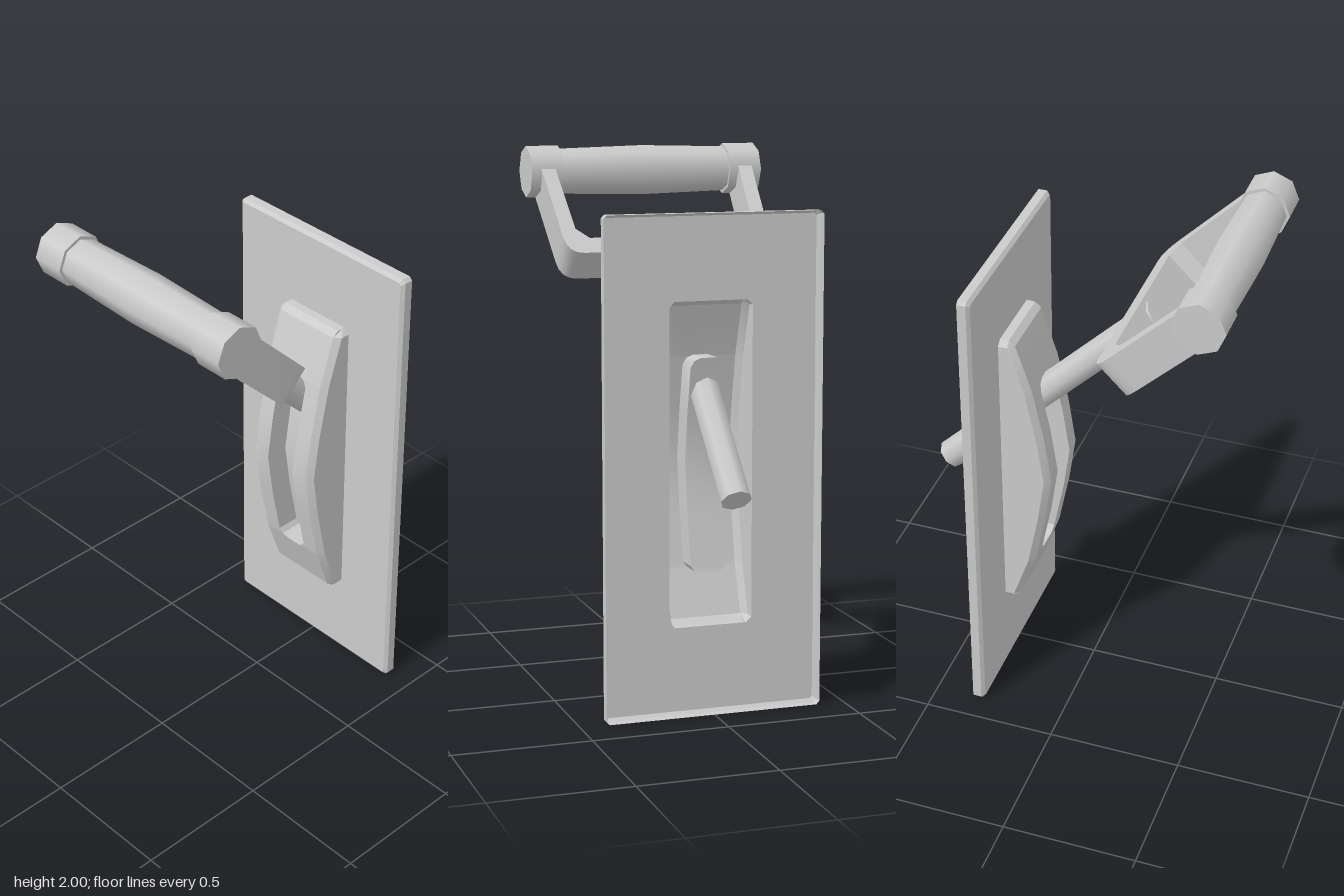
import * as THREE from 'three';
import { toCreasedNormals } from 'three/addons/utils/BufferGeometryUtils.js';

const material = new THREE.MeshStandardMaterial({ color: 0xcccccc });
const sheetMaterial = new THREE.MeshStandardMaterial({ color: 0xcccccc, side: THREE.DoubleSide });
const FACE = -0.305; // z of the plate's front sheet

function part(name, geometry, parent, mat = material) {
  const mesh = new THREE.Mesh(geometry, mat);
  mesh.name = name;
  parent.add(mesh);
  return mesh;
}

// Skin between successive rows of points, skipping collapsed triangles
function loft(rows, crease) {
  const positions = [];
  const tri = (a, b, c) => {
    if (new THREE.Triangle(a, b, c).getArea() < 1e-7) return;
    for (const p of [a, b, c]) positions.push(p.x, p.y, p.z);
  };
  for (let i = 0; i < rows.length - 1; i++) {
    for (let j = 0; j < rows[i].length - 1; j++) {
      const a = rows[i][j], b = rows[i][j + 1], c = rows[i + 1][j + 1], d = rows[i + 1][j];
      tri(a, b, c);
      tri(a, c, d);
    }
  }
  const geometry = new THREE.BufferGeometry();
  geometry.setAttribute('position', new THREE.Float32BufferAttribute(positions, 3));
  return toCreasedNormals(geometry, crease);
}

// Closed rectangular ring with cut corners
function ring(hx, y0, y1, cut, z) {
  return [
    [-hx + cut, y0], [hx - cut, y0], [hx, y0 + cut], [hx, y1 - cut],
    [hx - cut, y1], [-hx + cut, y1], [-hx, y1 - cut], [-hx, y0 + cut], [-hx + cut, y0],
  ].map(([x, y]) => new THREE.Vector3(x, y, z));
}

// Pan-shaped plate, open at the back: rim, bevel, front sheet up to the guide opening
function plateGeometry() {
  return loft([
    ring(0.405, 0, 1.8, 0.012, -0.35),
    ring(0.405, 0, 1.8, 0.012, FACE - 0.012),
    ring(0.393, 0.012, 1.788, 0.008, FACE),
    ring(0.155, 0.32, 1.49, 0.02, FACE),
  ], 0.3);
}

// Front face of the arched guide: [y, z]
const ARC = [[0.32, -0.272], [0.34, -0.249], [0.515, -0.188], [0.725, -0.146], [0.905, -0.12],
  [1.085, -0.146], [1.285, -0.188], [1.47, -0.249], [1.49, -0.272]];

function arcZ(y) {
  for (let i = 1; i < ARC.length; i++) {
    const [y0, z0] = ARC[i - 1], [y1, z1] = ARC[i];
    if (y <= y1) return z0 + (z1 - z0) * (y - y0) / (y1 - y0);
  }
  return ARC[ARC.length - 1][1];
}

// Hollow arched guide, lofted from cross-sections, with a recessed rounded-end slot
function guideGeometry() {
  const deep = 0.09;
  // y, half width of the guide, half width of the slot, slot depth
  const stations = [
    [0.32, 0.135, 0.03, 0], [0.34, 0.155, 0.03, 0], [0.505, 0.155, 0.03, 0], [0.505, 0.155, 0.03, deep],
    [0.515, 0.155, 0.052, deep], [0.535, 0.155, 0.065, deep], [0.725, 0.155, 0.065, deep],
    [0.905, 0.155, 0.065, deep], [1.085, 0.155, 0.065, deep], [1.25, 0.155, 0.065, deep],
    [1.275, 0.155, 0.052, deep], [1.285, 0.155, 0.03, deep], [1.285, 0.155, 0.03, 0],
    [1.47, 0.155, 0.03, 0], [1.49, 0.135, 0.03, 0],
  ];
  const section = (y, hx, w, depth, z) => {
    const half = [[hx, FACE], [hx, Math.max(FACE, z - 0.022)], [0.133, z], [w, z], [w, z - depth]];
    return [...half.map(([x, pz]) => [-x, pz]), ...half.reverse()]
      .map(([x, pz]) => new THREE.Vector3(x, y, pz));
  };
  const rows = stations.map(([y, hx, w, depth]) => section(y, hx, w, depth, arcZ(y)));
  rows.unshift(section(0.32, 0.135, 0.03, 0, FACE));
  rows.push(section(1.49, 0.135, 0.03, 0, FACE));
  return loft(rows, 0.5);
}

// U-shaped yoke, rounded outside and chamfered inside
function yokeGeometry() {
  const shape = new THREE.Shape();
  shape.moveTo(-0.418, 0);
  shape.lineTo(-0.4, -0.38);
  shape.quadraticCurveTo(-0.397, -0.462, -0.335, -0.462);
  shape.lineTo(0.335, -0.462);
  shape.quadraticCurveTo(0.397, -0.462, 0.4, -0.38);
  shape.lineTo(0.418, 0);
  shape.lineTo(0.365, 0);
  shape.lineTo(0.345, -0.347);
  shape.lineTo(0.3, -0.392);
  shape.lineTo(-0.3, -0.392);
  shape.lineTo(-0.345, -0.347);
  shape.lineTo(-0.365, 0);
  shape.closePath();
  const geometry = new THREE.ExtrudeGeometry(shape, { depth: 0.147, bevelEnabled: false, curveSegments: 4 });
  geometry.translate(0, 0, -0.0735);
  return toCreasedNormals(geometry, 0.6);
}

export function createModel() {
  const model = new THREE.Group();
  model.name = 'leverPanel';
  part('wallPlate', plateGeometry(), model, sheetMaterial);
  part('slottedGuide', guideGeometry(), model, sheetMaterial);

  // Lever: local y runs along the rod, origin at the grip centre
  const lever = new THREE.Group();
  lever.name = 'lever';
  lever.position.set(0, 1.904, 0.507);
  lever.rotation.x = Math.PI / 4;
  model.add(lever);

  const rodStart = -1.522, rodEnd = -0.382;
  const rod = part('leverRod', new THREE.CylinderGeometry(0.056, 0.056, rodEnd - rodStart, 8), lever);
  rod.position.y = (rodStart + rodEnd) / 2;
  part('yoke', yokeGeometry(), lever);

  // Barrel-shaped grip and its end caps
  const profile = [[0.084, -0.34], [0.093, 0], [0.084, 0.34]].map(([r, y]) => new THREE.Vector2(r, y));
  const grip = part('grip', new THREE.LatheGeometry(profile, 8), lever);
  grip.rotation.z = Math.PI / 2;
  for (const side of [-1, 1]) {
    const cap = part(side > 0 ? 'leftGripCap' : 'rightGripCap',
      new THREE.CylinderGeometry(0.096, 0.096, 0.125, 8), lever);
    cap.rotation.z = Math.PI / 2;
    cap.position.x = side * 0.39;
  }
  return model;
}
